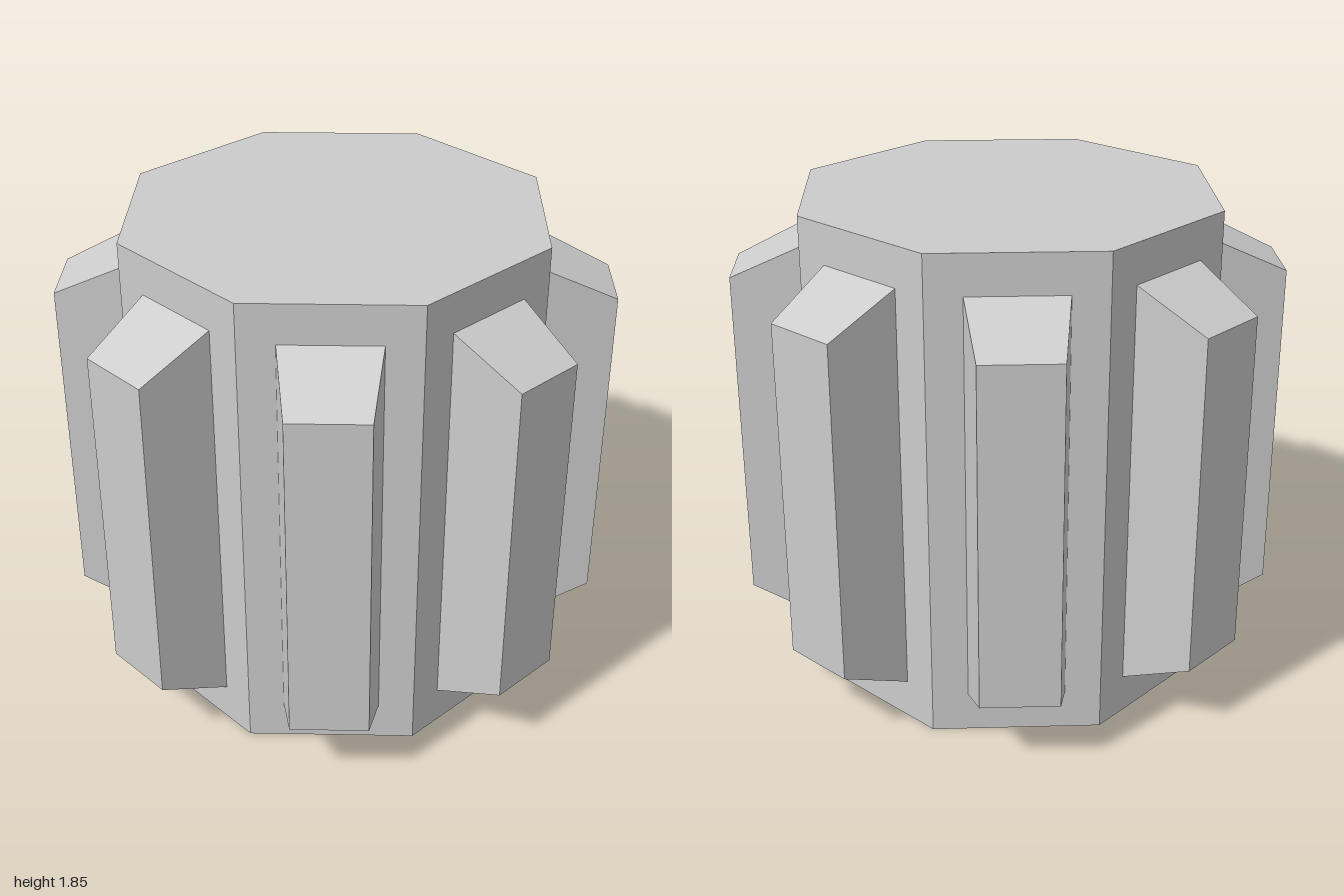
import * as THREE from 'three';

const SIDES = 8, RADIUS = 0.81, HEIGHT = 1.85;
const APOTHEM = RADIUS * Math.cos(Math.PI / SIDES);

// Block standing on the z = APOTHEM face, tapering towards its outer end
function toothGeometry() {
  const depth = 1.023 - APOTHEM;
  const geometry = new THREE.BoxGeometry(0.357, 1.55, depth);
  const p = geometry.attributes.position;
  for (let i = 0; i < p.count; i++) {
    if (p.getZ(i) > 0) {
      p.setX(i, Math.sign(p.getX(i)) * 0.143);
      p.setY(i, Math.sign(p.getY(i)) * 0.645);
    }
  }
  geometry.translate(0, HEIGHT / 2, APOTHEM + depth / 2);
  geometry.computeVertexNormals();
  return geometry;
}

export function createModel() {
  const model = new THREE.Group();
  model.name = 'gear';
  const material = new THREE.MeshStandardMaterial({ color: 0xcccccc, flatShading: true });

  // Octagonal core with corners on the x and z axes
  const core = new THREE.Mesh(new THREE.CylinderGeometry(RADIUS, RADIUS, HEIGHT, SIDES), material);
  core.name = 'core';
  core.position.y = HEIGHT / 2;
  model.add(core);

  // One tooth in the middle of each side
  const geometry = toothGeometry();
  for (let i = 0; i < SIDES; i++) {
    const tooth = new THREE.Mesh(geometry, material);
    tooth.name = `tooth${i + 1}`;
    tooth.rotation.y = ((i + 0.5) / SIDES) * Math.PI * 2;
    model.add(tooth);
  }
  return model;
}
